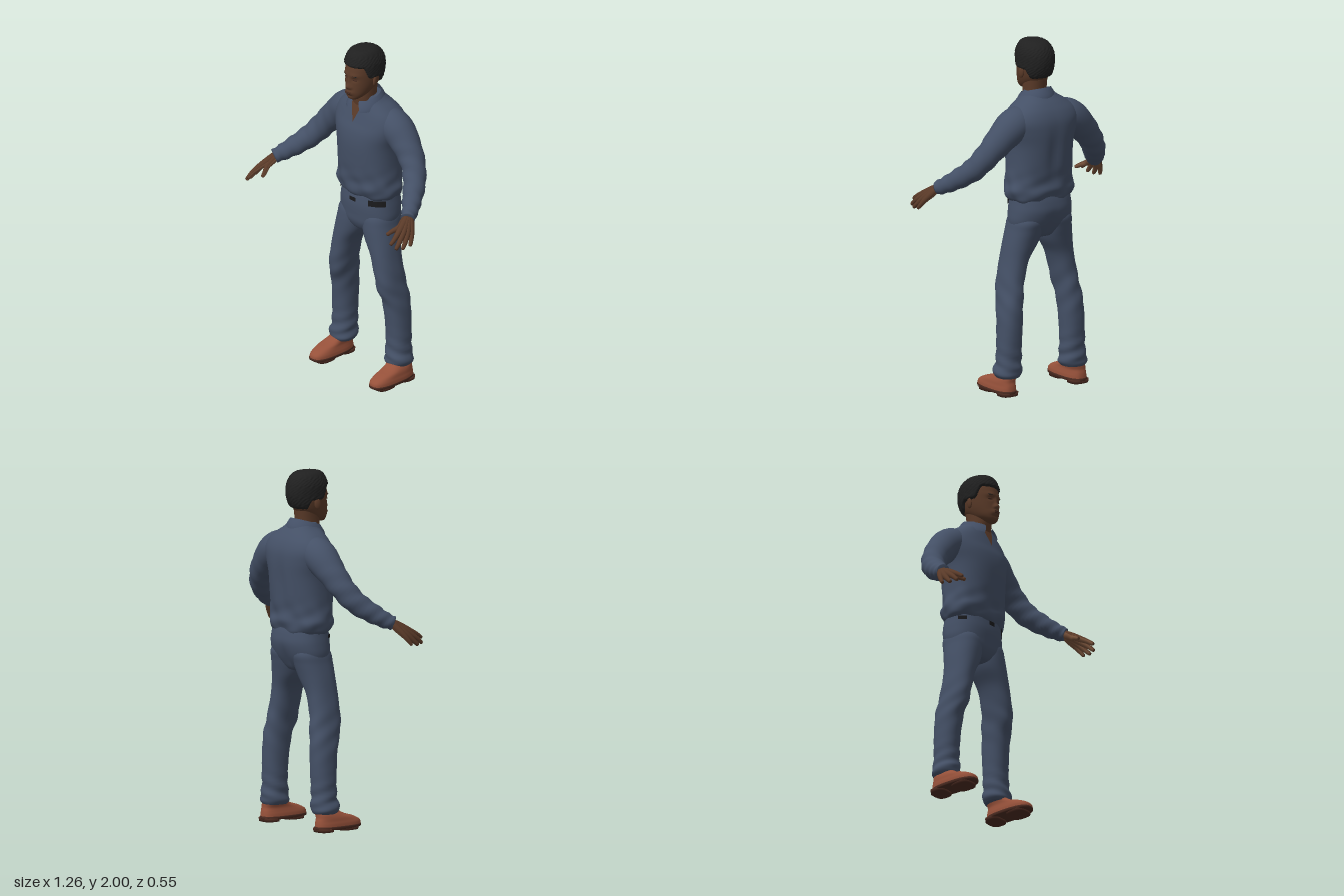
import * as THREE from 'three';

const mat = (name, color, side = THREE.FrontSide) => {
  const m = new THREE.MeshStandardMaterial({ color, side });
  m.name = name;
  return m;
};
const gauss = (x, s) => Math.exp(-((x / s) ** 2));
const smooth = THREE.MathUtils.smoothstep;

// Catmull-Rom interpolation through rows of numbers
function resample(rows, steps) {
  const out = [], last = rows.length - 1;
  const at = i => rows[Math.min(last, Math.max(0, i))];
  for (let k = 0; k <= last * steps; k++) {
    const i = Math.min(last - 1, Math.floor(k / steps)), t = k / steps - i;
    const [a, b, c, d] = [at(i - 1), at(i), at(i + 1), at(i + 2)];
    out.push(b.map((v, n) => v + 0.5 * t * (c[n] - a[n] +
      t * (2 * a[n] - 5 * v + 4 * c[n] - d[n] + t * (3 * (v - c[n]) + d[n] - a[n])))));
  }
  return out;
}

// Skin closed rings of points into one capped smooth surface
function skinRings(rings) {
  const seg = rings[0].length, pos = [], idx = [];
  rings.forEach(r => r.forEach(p => pos.push(...p)));
  for (let j = 0; j < rings.length - 1; j++) for (let i = 0; i < seg; i++) {
    const a = j * seg + i, b = j * seg + (i + 1) % seg;
    idx.push(a, b, b + seg, a, b + seg, a + seg);
  }
  [0, rings.length - 1].forEach((j, top) => {
    const centre = pos.length / 3;
    pos.push(...[0, 1, 2].map(n => rings[j].reduce((s, p) => s + p[n], 0) / seg));
    for (let i = 0; i < seg; i++) {
      const a = j * seg + i, b = j * seg + (i + 1) % seg;
      top ? idx.push(a, b, centre) : idx.push(b, a, centre);
    }
  });
  const g = new THREE.BufferGeometry();
  g.setAttribute('position', new THREE.Float32BufferAttribute(pos, 3));
  g.setIndex(idx);
  g.computeVertexNormals();
  return g;
}

// Stack of rounded sections, rows bottom to top: [y, centre x, half width, front z, back z]
function loft(rows, { seg = 40, steps = 5, n = 2.3, push = () => 0 } = {}) {
  const pw = v => Math.sign(v) * Math.abs(v) ** (2 / n);
  return skinRings(resample(rows, steps).map(([y, cx, rx, zf, zb]) =>
    Array.from({ length: seg }, (_, i) => {
      const a = i / seg * Math.PI * 2, s = Math.sin(a), c = Math.cos(a);
      const x = rx * pw(s), z = (zf + zb) / 2 + (zf - zb) / 2 * pw(c), d = push(x, y, a);
      return [cx + x + d * s, y, z + d * c];
    })));
}

// Limb along a path of [x, y, z, radius]
function limb(pts, seg, steps, fold = () => 0) {
  const curve = new THREE.CatmullRomCurve3(pts.map(p => new THREE.Vector3(...p)));
  const rows = resample(pts, steps), N = rows.length - 1;
  const { normals, binormals } = curve.computeFrenetFrames(N);
  return skinRings(rows.map((r, j) => Array.from({ length: seg }, (_, i) => {
    const a = i / seg * Math.PI * 2, rad = r[3] + fold(j / N, a);
    return new THREE.Vector3(r[0], r[1], r[2])
      .addScaledVector(normals[j], rad * Math.cos(a))
      .addScaledVector(binormals[j], rad * Math.sin(a)).toArray();
  })));
}

// Sort faces turned towards a direction into a second material group
function splitByFacing(g, dir) {
  const [away, toward] = [[], []], p = g.attributes.position, i = g.index.array;
  const tri = new THREE.Triangle(), n = new THREE.Vector3();
  for (let k = 0; k < i.length; k += 3) {
    tri.setFromAttributeAndIndices(p, i[k], i[k + 1], i[k + 2]).getNormal(n);
    (n.dot(dir) > 0.35 ? toward : away).push(i[k], i[k + 1], i[k + 2]);
  }
  g.setIndex([...away, ...toward]);
  g.addGroup(0, away.length, 0);
  g.addGroup(away.length, toward.length, 1);
  return g;
}

// Open sheet from a function of column u and row v in 0..1
function sheet(cols, rows, f) {
  const g = new THREE.PlaneGeometry(1, 1, cols, rows), p = g.attributes.position;
  for (let i = 0; i < p.count; i++) p.setXYZ(i, ...f(p.getX(i) + 0.5, p.getY(i) + 0.5));
  g.computeVertexNormals();
  return g;
}

export function createModel() {
  const cloth = mat('blue cloth', 0x445066), collarCloth = mat('collar cloth', 0x445067, THREE.DoubleSide);
  const skin = mat('skin', 0x5a3a28), darkSkin = mat('dark skin', 0x462b20), palm = mat('palm', 0x755039);
  const hairMat = mat('hair', 0x202020), beltMat = mat('belt black', 0x1b1b1d, THREE.DoubleSide);
  const leather = mat('shoe leather', 0x96513a), soleMat = mat('shoe sole', 0x4a2a20);
  const model = new THREE.Group();
  const add = (name, geo, m) => {
    const mesh = new THREE.Mesh(geo, m);
    mesh.name = name;
    model.add(mesh);
    return mesh;
  };

  // Shirt body, with soft folds and a hollow along the spine
  const torso = [
    [1.10, 0, .182, 0, -.238], [1.12, 0, .198, .012, -.246], [1.16, 0, .208, .022, -.255],
    [1.21, 0, .199, .024, -.25], [1.30, 0, .193, .035, -.262], [1.42, 0, .197, .042, -.272],
    [1.50, 0, .218, .034, -.275], [1.56, 0, .228, .014, -.27], [1.61, 0, .205, -.002, -.252],
    [1.65, 0, .155, -.015, -.225], [1.68, 0, .108, -.025, -.198], [1.71, 0, .078, -.04, -.17]];
  add('shirt body', loft(torso, { seg: 64, push: (x, y, a) => {
    const low = smooth(1.32 - y, 0, .16), back = Math.cos(a) < 0 ? 1 : 0;
    return .004 * low * Math.sin(9 * a + 30 * y) + .003 * low * Math.sin(5 * a - 60 * y)
      - back * .012 * gauss(x, .035) * gauss(y - 1.38, .14);
  } }), cloth);

  // Open neck of the shirt, hugging the chest
  const chestZ = (x, y) => {
    const k = Math.max(1, torso.findIndex(r => r[0] >= y)), [p, q] = [torso[k - 1], torso[k]];
    const [, , rx, zf, zb] = p.map((v, i) => v + (q[i] - v) * (y - p[0]) / (q[0] - p[0]));
    return (zf + zb) / 2 + (zf - zb) / 2 * (1 - Math.abs(x / rx) ** 2.3) ** (1 / 2.3);
  };
  add('open neck', sheet(8, 12, (u, v) => {
    const y = 1.56 + .12 * v, x = (u - .5) * (.002 + .09 * v);
    return [x, y, chestZ(x, y) + .005];
  }), skin);

  // Folded collar
  add('collar', sheet(40, 6, (u, v) => {
    const start = .48 - .2 * v, a = start + u * (Math.PI * 2 - 2 * start);
    const f = (1 + Math.cos(a)) / 2, r = 1 - .26 * v ** 1.5;
    const y = (1.675 - .05 * f) * (1 - v) + (1.735 - .05 * f) * v;
    return [Math.sin(a) * .112 * r, y, -.087 + Math.cos(a) * .112 * r];
  }), collarCloth);

  // Trousers seat
  add('trouser seat', loft([
    [.87, 0, .03, -.06, -.13], [.885, 0, .09, -.025, -.18], [.93, 0, .17, .0, -.215],
    [.98, 0, .19, .006, -.24], [1.04, 0, .188, .01, -.255], [1.09, 0, .182, .006, -.25],
    [1.13, 0, .178, 0, -.24]], { push: (x, y, a) =>
    Math.cos(a) < 0 ? -.016 * gauss(x, .025) * gauss(y - .95, .07) : 0 }), cloth);

  // Belt pieces showing under the shirt hem
  for (const [name, from, len, h] of [['belt buckle', -.12, .24, .024], ['belt pouch', .55, .62, .036], ['belt side', -1.22, .32, .02]]) {
    const band = add(name, new THREE.CylinderGeometry(1, 1, h, 16, 1, true, from, len), beltMat);
    band.scale.set(.196, 1, .142);
    band.position.set(0, 1.082, -.122);
  }

  for (const s of [1, -1]) {
    const side = s > 0 ? 'left ' : 'right ';
    const flipPath = pts => pts.map(([x, ...r]) => [x * s, ...r]);
    const flipRows = rows => rows.map(([y, x, ...r]) => [y, x * s, ...r]);

    // Sleeve with creases at elbow and cuff
    add(side + 'sleeve', limb(flipPath([
      [.07, 1.56, -.13, .06], [.135, 1.558, -.132, .092], [.2, 1.53, -.134, .096],
      [.272, 1.47, -.13, .083], [.35, 1.385, -.11, .07], [.41, 1.305, -.065, .064],
      [.465, 1.245, .005, .056], [.51, 1.203, .065, .046], [.537, 1.182, .108, .038]]), 28, 6,
    (t, a) => .003 * smooth(t, .3, .5) * Math.sin(60 * t + 2 * a)), cloth);

    // Hand: each finger runs from wrist over knuckle to tip
    const fingers = {
      'little finger': [[.597, 1.117, .137], [.613, 1.088, .155], [.622, 1.066, .17], .0125],
      'ring finger': [[.589, 1.122, .16], [.606, 1.085, .195], [.614, 1.06, .22], .0135],
      'middle finger': [[.577, 1.129, .181], [.594, 1.095, .227], [.6, 1.067, .257], .014],
      'index finger': [[.561, 1.138, .198], [.573, 1.113, .243], [.575, 1.092, .274], .0135],
      thumb: [[.53, 1.145, .165], [.512, 1.128, .2], [.5, 1.112, .23], .0135]
    };
    const palmSide = new THREE.Vector3(-.77 * s, -.62, -.15);
    for (const [name, [k, m, t, r]] of Object.entries(fingers)) {
      const w = [.53 + (k[0] - .56) * .25, 1.187, .1 + (k[2] - .17) * .25];
      const mid = w.map((v, i) => (v + k[i]) / 2);
      const end = t.map((v, i) => v + (t[i] - m[i]) * .1);
      add(side + name, splitByFacing(limb(flipPath([[...w, .02], [...mid, .021], [...k, r * 1.3], [...m, r],
        [...t, r * .75], [...end, .002]]), 12, 4), palmSide), [skin, palm]);
    }

    // Trouser leg, bunched at the hem
    add(side + 'trouser leg', loft(flipRows([
      [.10, .222, .066, -.06, -.19], [.12, .222, .077, -.048, -.202], [.15, .222, .076, -.05, -.202],
      [.19, .217, .07, -.058, -.198], [.28, .215, .068, -.06, -.2], [.40, .21, .067, -.05, -.204],
      [.49, .204, .066, -.035, -.202], [.57, .192, .063, -.006, -.195], [.65, .178, .066, 0, -.184],
      [.76, .152, .072, .001, -.183], [.85, .118, .092, .002, -.2], [.93, .098, .096, .001, -.22],
      [.99, .09, .092, -.008, -.23], [1.06, .08, .06, -.05, -.19]]), { push: (x, y, a) =>
      .004 * gauss(y - .18, .1) * Math.sin(85 * y + 2 * a * s) + .003 * gauss(y - .55, .12) * Math.sin(50 * y + 3 * a * s) }), cloth);

    // Shoe
    const x = .24;
    add(side + 'shoe upper', loft(flipRows([
      [.028, x, .061, .099, -.197], [.045, x, .06, .096, -.196], [.06, x, .057, .08, -.194],
      [.078, x, .054, .04, -.19], [.095, x - .004, .052, -.015, -.19], [.115, x - .012, .05, -.05, -.19],
      [.14, x - .016, .048, -.065, -.185]]), { n: 2.7 }), leather);
    add(side + 'sole', loft(flipRows([[.012, x, .058, .085, -.195], [.016, x, .062, .1, -.2],
      [.026, x, .063, .102, -.2], [.03, x, .061, .1, -.198]]), { n: 2.7, steps: 2 }), soleMat);
    for (const [name, zf, zb] of [['heel', -.1, -.198], ['tread', .075, -.05]])
      add(side + name, loft(flipRows([[0, x, .054, zf, zb], [.02, x, .058, zf, zb]]), { n: 3, steps: 1 }), soleMat);
  }

  // Neck and head, with the face shaped by soft bumps
  add('neck', loft([[1.6, 0, .068, -.02, -.14], [1.68, 0, .063, -.008, -.14], [1.72, 0, .062, -.004, -.142],
    [1.79, 0, .064, -.01, -.15]]), skin);
  const head = [
    [1.703, 0, .012, .022, 0], [1.71, 0, .034, .04, -.03], [1.735, 0, .058, .048, -.09],
    [1.775, 0, .075, .048, -.148], [1.82, 0, .084, .046, -.175], [1.87, 0, .087, .046, -.187],
    [1.92, 0, .085, .034, -.182], [1.955, 0, .069, .016, -.16], [1.975, 0, .046, -.01, -.125],
    [1.982, 0, .006, -.062, -.076]];
  const face = (x, y, a) => Math.cos(a) <= 0 ? 0 :
    .02 * gauss(x, .014) * gauss(y - 1.79, .015) + .009 * gauss(x, .01) * gauss(y - 1.82, .024)
    + .006 * gauss(Math.abs(x) - .015, .009) * gauss(y - 1.783, .009)
    + .005 * gauss(Math.abs(x) - .03, .025) * gauss(y - 1.858, .012)
    - .006 * gauss(Math.abs(x) - .034, .016) * gauss(y - 1.833, .011)
    + .013 * gauss(x, .026) * gauss(y - 1.753, .016) - .005 * gauss(x, .02) * gauss(y - 1.732, .007);
  add('head', loft(head, { seg: 96, steps: 9, n: 2.15, push: face }), skin);

  // Facial details
  const dot = (name, m, pos, size) => {
    const d = add(name, new THREE.SphereGeometry(1, 16, 10), m);
    d.position.set(...pos);
    d.scale.set(...size);
    return d;
  };
  dot('upper lip', darkSkin, [0, 1.757, .058], [.024, .004, .005]);
  dot('lower lip', darkSkin, [0, 1.75, .057], [.021, .005, .005]);
  for (const s of [1, -1]) {
    dot('eye', darkSkin, [s * .034, 1.832, .0345], [.015, .005, .005]).rotation.y = s * .3;
    dot('eyebrow', hairMat, [s * .036, 1.856, .0405], [.018, .002, .004]).rotation.set(0, s * .35, -s * .08);
    dot('ear', skin, [s * .089, 1.815, -.07], [.01, .032, .019]).rotation.set(-.15, s * .3, 0);
  }

  // Short cropped hair, sinking into the scalp below the hairline
  const hairRows = head.slice(3).map(([y, ...r]) => [y + Math.max(0, y - 1.9) * .18, ...r]);
  add('hair', loft(hairRows, { seg: 96, steps: 9, n: 2.15, push: (x, y, a) => {
    const t = Math.min(a, Math.PI * 2 - a);
    const line = 1.905 - .07 * smooth(t, .85, 1.35) - .05 * smooth(t, 1.8, 2.3);
    return -.008 + .021 * smooth(y, line - .008, line + .012)
      + .0025 * Math.sin(24 * a + 9 * Math.sin(60 * y)) * Math.sin(150 * y + 5 * a);
  } }), hairMat);

  return model;
}
